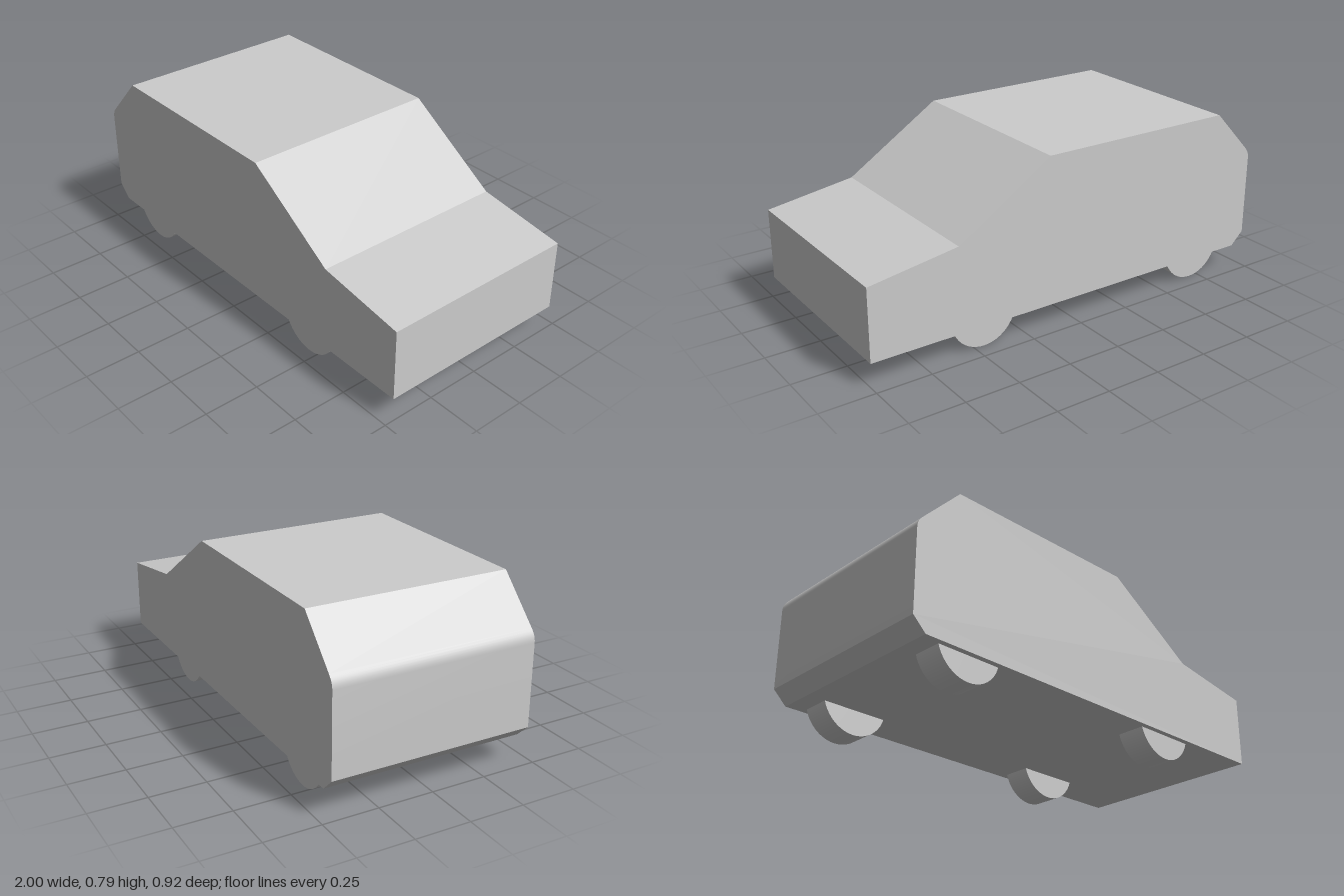
import * as THREE from 'three';
import { toCreasedNormals } from 'three/addons/utils/BufferGeometryUtils.js';

const BODY_WIDTH = 0.922;
const WHEEL_RADIUS = 0.158;
const WHEEL_WIDTH = 0.132;

export function createModel() {
  const group = new THREE.Group();
  group.name = 'car';
  const material = new THREE.MeshStandardMaterial({ color: 0xcccccc });

  // Body: side profile with the bonnet towards +x, extruded across the width
  const profile = new THREE.Shape();
  profile.moveTo(1, 0.112);
  profile.lineTo(1, 0.44);
  profile.lineTo(0.59, 0.503);
  profile.lineTo(0.147, 0.79);
  profile.lineTo(-0.793, 0.79);
  profile.lineTo(-0.975, 0.6);
  profile.quadraticCurveTo(-1, 0.575, -1, 0.545); // rounded tail
  profile.lineTo(-1, 0.172);
  profile.lineTo(-0.938, 0.112); // chamfer under the tail
  profile.closePath();
  const bodyGeometry = new THREE.ExtrudeGeometry(profile, {
    depth: BODY_WIDTH, bevelEnabled: false, curveSegments: 6,
  });
  bodyGeometry.translate(0, 0, -BODY_WIDTH / 2);
  const body = new THREE.Mesh(toCreasedNormals(bodyGeometry, 0.35), material);
  body.name = 'body';
  group.add(body);

  // Wheels: four cylinders with their axles along z, partly inside the body
  const wheelGeometry = new THREE.CylinderGeometry(WHEEL_RADIUS, WHEEL_RADIUS, WHEEL_WIDTH, 48);
  wheelGeometry.rotateX(Math.PI / 2);
  for (const [end, x] of [['rear', -0.705], ['front', 0.453]]) {
    for (const [side, z] of [['Left', -0.359], ['Right', 0.369]]) {
      const wheel = new THREE.Mesh(wheelGeometry, material);
      wheel.name = `${end}${side}Wheel`;
      wheel.position.set(x, WHEEL_RADIUS, z);
      group.add(wheel);
    }
  }
  return group;
}
